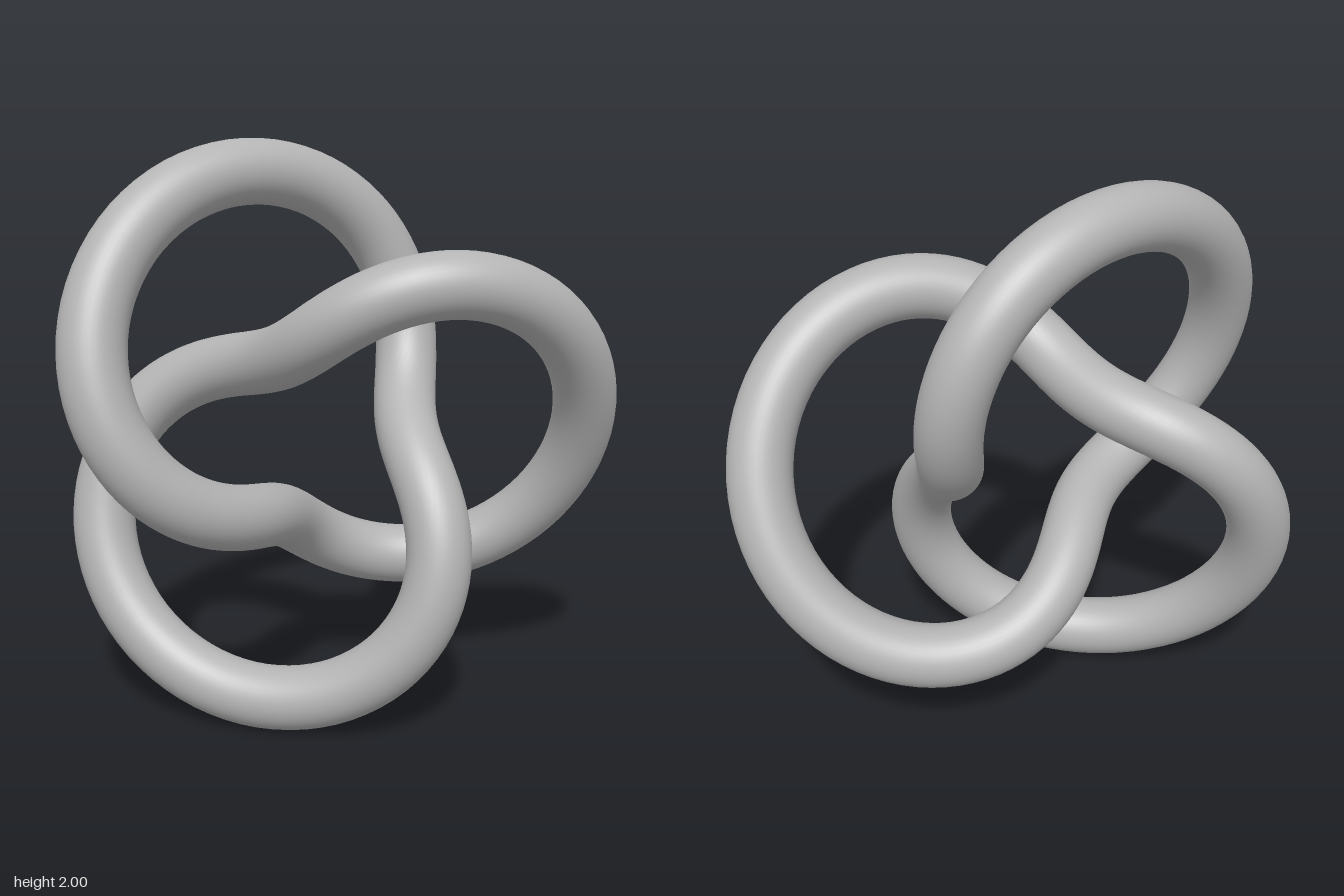
import * as THREE from 'three';

export function createModel() {
  const model = new THREE.Group();
  model.name = 'trefoilKnot';

  const grey = new THREE.MeshStandardMaterial({ color: 0xb4b4b4 });
  grey.name = 'grey';

  // Round tube winding twice about the z axis and three times about its ring
  const geometry = new THREE.TorusKnotGeometry(0.63, 0.11, 256, 40, 2, 3);

  // The three lobes are not symmetric in x, so centre the bounds, then stand on the ground
  geometry.center();
  geometry.translate(0, 1, 0);

  const knot = new THREE.Mesh(geometry, grey);
  knot.name = 'knotTube';
  model.add(knot);
  return model;
}
